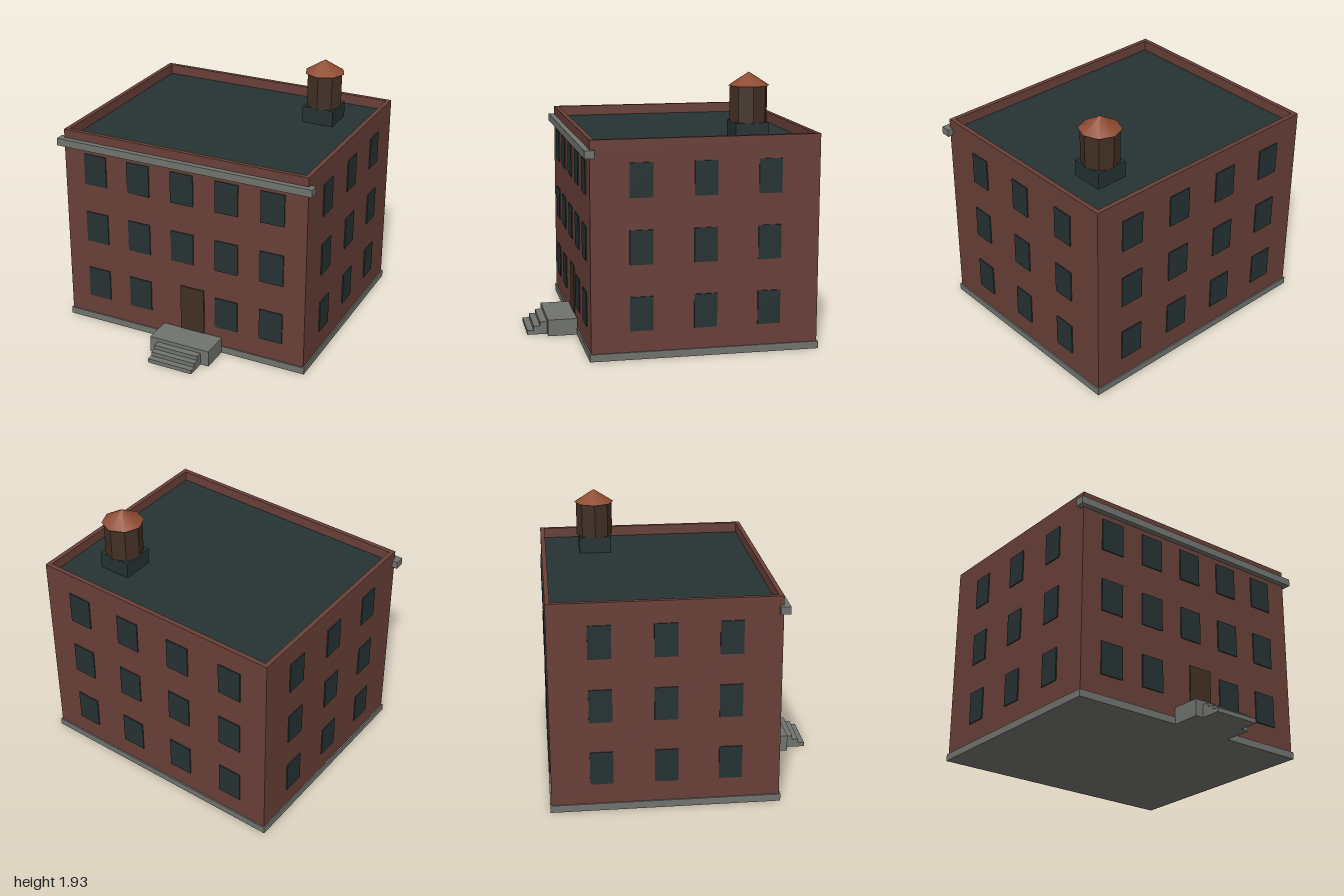
import * as THREE from 'three';

const material = (name, color) => {
  const m = new THREE.MeshStandardMaterial({ color });
  m.name = name;
  return m;
};

export function createModel() {
  const brick = material('brick', 0x693f38);
  const stone = material('stone', 0x70736e);
  const slate = material('darkSlate', 0x263232);
  const wood = material('darkWood', 0x423024);
  const copper = material('copper', 0x8f4c32);

  const building = new THREE.Group();
  building.name = 'building';

  const add = (name, geometry, mat, x, y, z) => {
    const mesh = new THREE.Mesh(geometry, mat);
    mesh.name = name;
    mesh.position.set(x, y, z);
    building.add(mesh);
    return mesh;
  };
  // Box given by its limits on each axis
  const box = (name, mat, [x0, x1], [y0, y1], [z0, z1]) =>
    add(name, new THREE.BoxGeometry(x1 - x0, y1 - y0, z1 - z0), mat,
      (x0 + x1) / 2, (y0 + y1) / 2, (z0 + z1) / 2);

  const side = 0.96, front = 0.625, back = -0.98;
  const roofY = 1.455, topY = 1.53, rim = 0.033;

  // Foundation, walls and front cornice
  box('foundation', stone, [-0.97, 0.97], [0, 0.052], [-0.99, 0.635]);
  box('walls', brick, [-side, side], [0.052, 1.44], [back, front]);
  box('cornice', stone, [-1, 1], [1.41, 1.465], [0.595, 0.665]);

  // Flat roof inside the parapet
  box('roof', slate, [-side + rim, side - rim], [1.44, roofY], [back + rim, front - rim]);
  for (const s of [-1, 1]) {
    const edge = [s * side, s * (side - rim)].sort((a, b) => a - b);
    box('sideParapet', brick, edge, [1.44, topY], [back, front]);
  }
  const inner = [-side + rim, side - rim];
  box('frontParapet', brick, inner, [1.44, topY], [front - rim, front]);
  box('backParapet', brick, inner, [1.44, topY], [back, back + rim]);

  // Three rows of windows on all four walls
  const proud = 0.008;
  [0.322, 0.787, 1.25].forEach((y, floor) => {
    const rows = [y - 0.12, y + 0.12];
    for (let i = -2; i <= 2; i++) {
      if (floor === 0 && i === 0) continue; // the door stands here
      const x = i * 0.352 - 0.002;
      box('frontWindow', slate, [x - 0.09, x + 0.09], rows, [front, front + proud]);
    }
    for (const x of [-0.66, -0.22, 0.22, 0.655]) {
      box('backWindow', slate, [x - 0.09, x + 0.09], rows, [back - proud, back]);
    }
    for (const z of [0.275, -0.175, -0.627]) {
      const span = [z - 0.081, z + 0.081];
      box('leftWindow', slate, [side, side + proud], rows, span);
      box('rightWindow', slate, [-side - proud, -side], rows, span);
    }
  });

  // Door, landing and steps
  box('door', wood, [-0.018, 0.172], [0.12, 0.475], [front, front + 0.009]);
  box('landing', stone, [-0.16, 0.316], [0, 0.122], [0.63, 0.845]);
  for (let i = 0; i < 3; i++) {
    box('step', stone, [-0.098, 0.252], [i * 0.031, (i + 1) * 0.031],
      [0.84, 0.99 - i * 0.047]);
  }

  // Water tank on the roof
  const tx = 0.573, tz = -0.567;
  box('tankPlatform', slate, [tx - 0.12, tx + 0.12], [roofY, 1.577], [tz - 0.12, tz + 0.12]);
  const tank = new THREE.CylinderGeometry(0.136, 0.136, 0.255, 8).toNonIndexed();
  tank.computeVertexNormals();
  add('waterTank', tank, wood, tx, 1.704, tz);
  add('tankRoof', new THREE.ConeGeometry(0.15, 0.095, 8), copper, tx, 1.878, tz);

  return building;
}
